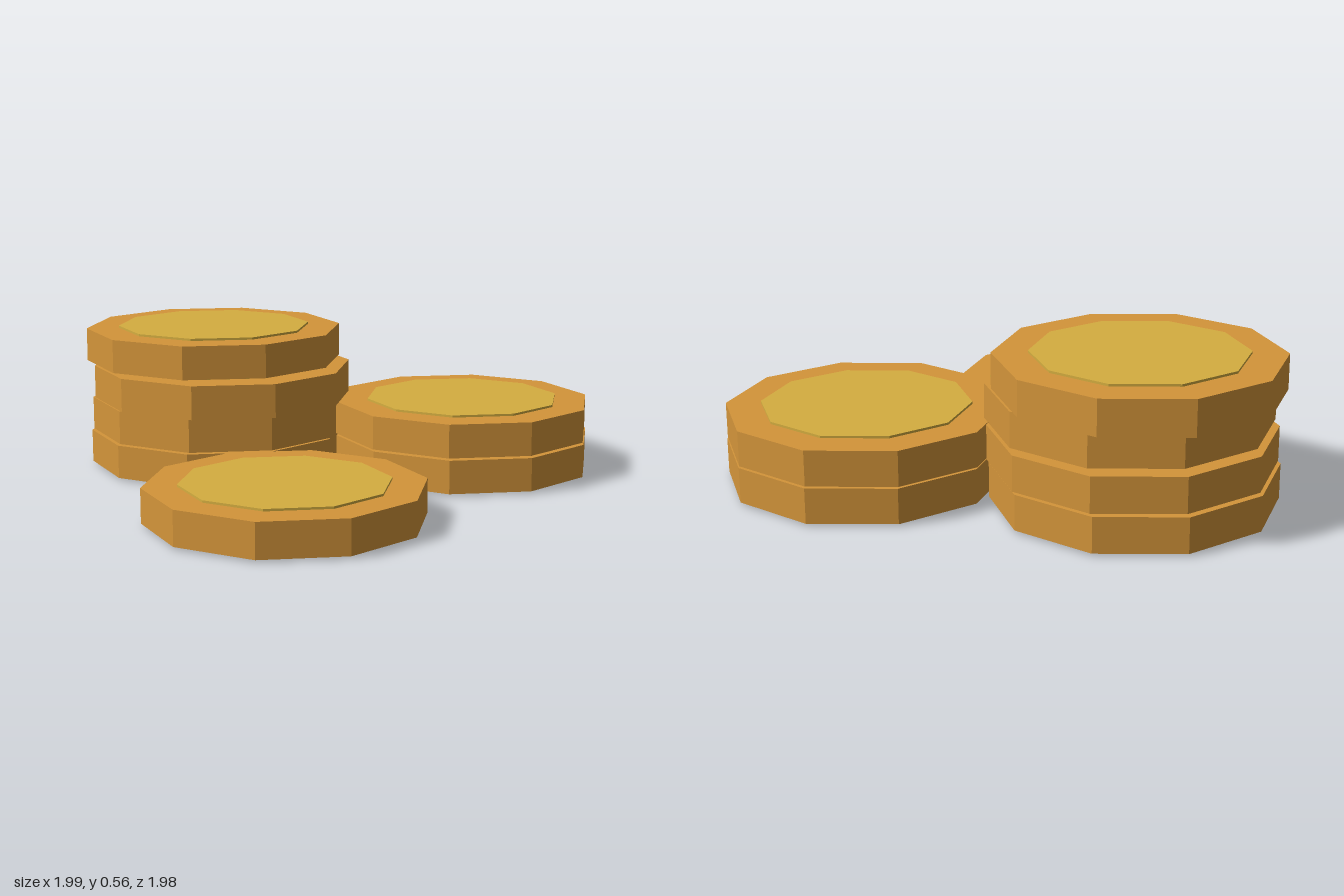
import * as THREE from 'three';

const SIDES = 10;
const PITCH = 0.138; // height from one coin to the next in a stack

export function createModel() {
  const group = new THREE.Group();
  group.name = 'coinPile';

  const rimMat = new THREE.MeshStandardMaterial({ color: 0xd4953a, flatShading: true });
  rimMat.name = 'bronze gold';
  const faceMat = new THREE.MeshStandardMaterial({ color: 0xd5ae40, flatShading: true });
  faceMat.name = 'yellow gold';

  // Ten-sided coin body, and a narrower disc standing slightly proud on both faces
  const rimGeo = new THREE.CylinderGeometry(0.515, 0.515, 0.13, SIDES);
  const faceGeo = new THREE.CylinderGeometry(0.386, 0.386, 0.147, SIDES);

  function coin(x, z, level) {
    const c = new THREE.Group();
    c.name = 'coin';
    const rim = new THREE.Mesh(rimGeo, rimMat);
    rim.name = 'coinRim';
    const face = new THREE.Mesh(faceGeo, faceMat);
    face.name = 'coinFace';
    c.add(rim, face);
    c.position.set(x, 0.0735 + level * PITCH, z);
    return c;
  }

  // Coin centres [x, z], from the bottom of each stack upwards
  const stacks = {
    tallStack: [[-0.49, -0.4], [-0.48, -0.395], [-0.456, -0.35], [-0.508, -0.42]],
    shortStack: [[0.507, -0.476], [0.503, -0.478]],
    singleCoin: [[-0.035, 0.473]],
  };
  for (const [name, coins] of Object.entries(stacks)) {
    const stack = new THREE.Group();
    stack.name = name;
    coins.forEach(([x, z], level) => stack.add(coin(x, z, level)));
    group.add(stack);
  }
  return group;
}
